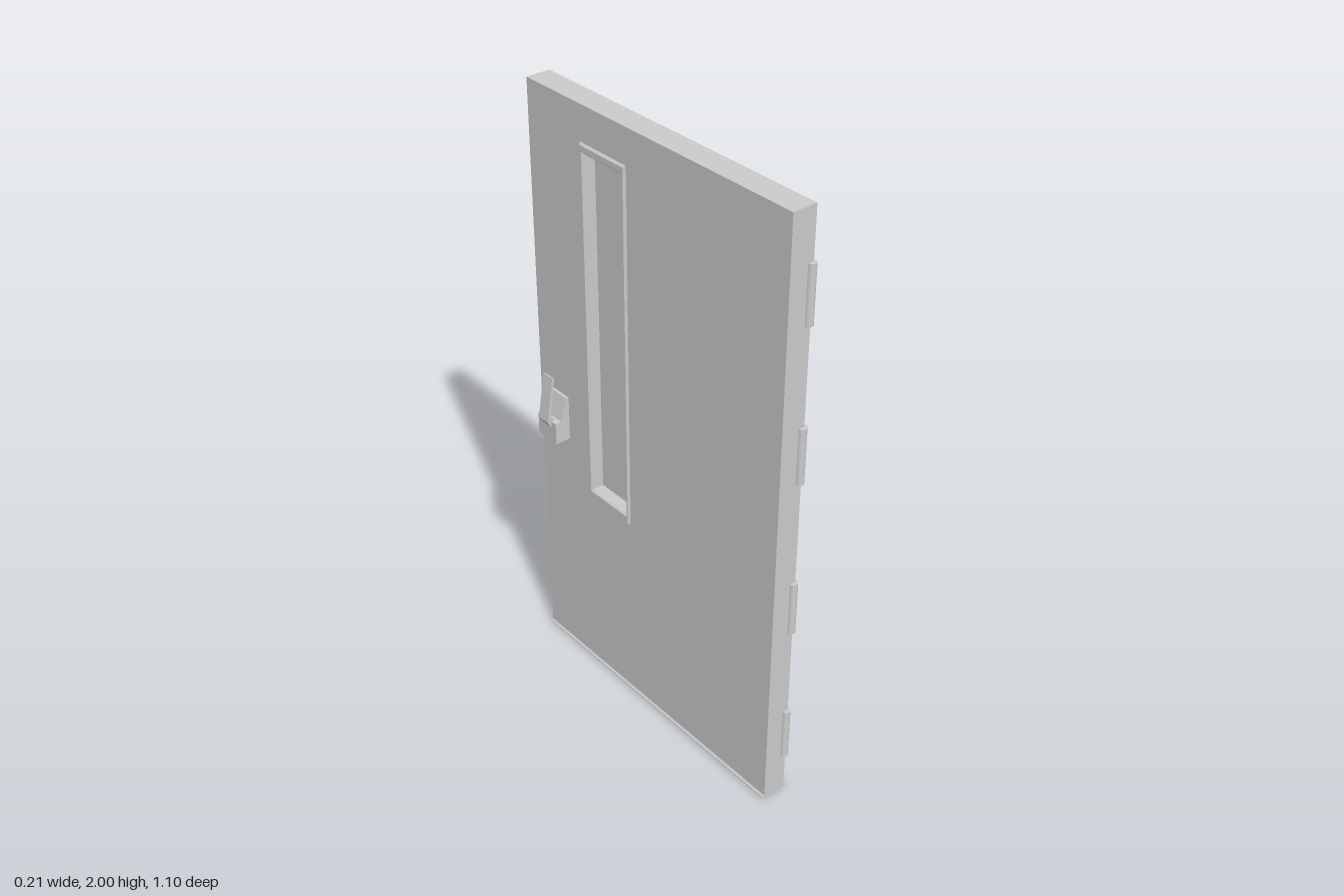
import * as THREE from 'three';

const CX = -0.003; // middle of the door thickness
const grey = new THREE.MeshStandardMaterial({ color: 0xcccccc, flatShading: true });
const smoothGrey = new THREE.MeshStandardMaterial({ color: 0xcccccc });

function mesh(name, geometry, material = grey) {
  const m = new THREE.Mesh(geometry, material);
  m.name = name;
  return m;
}

function polygon(points) {
  return new THREE.Shape(points.map(([x, y]) => new THREE.Vector2(x, y)));
}

// Rectangle in the door plane, s = -z
function rect(s0, s1, y0, y1) {
  return polygon([[s0, y0], [s1, y0], [s1, y1], [s0, y1]]);
}

// Upright panel with an opening, extruded through the door thickness
function panel(outer, opening, half, bevel = 0) {
  const shape = rect(...outer);
  shape.holes.push(rect(...opening));
  const depth = 2 * (half - bevel);
  const g = new THREE.ExtrudeGeometry(shape, {
    depth, bevelEnabled: bevel > 0, bevelThickness: bevel,
    bevelSize: bevel, bevelOffset: -bevel, bevelSegments: 1,
  });
  return g.translate(0, 0, -depth / 2).rotateY(Math.PI / 2);
}

// Profile in x and y, extruded along z
function bar(points, z0, z1) {
  return new THREE.ExtrudeGeometry(polygon(points), { depth: z1 - z0, bevelEnabled: false })
    .translate(0, 0, z0);
}

function createHandle(name) {
  const handle = new THREE.Group();
  handle.name = name;
  // Sloped block against the door
  handle.add(mesh('handleBase', bar([
    [0.035, 0.845], [0.093, 0.845], [0.093, 0.92], [0.073, 0.922], [0.05, 0.998], [0.035, 0.998],
  ], -0.045, 0.045)));
  // Thin lever leaning back towards the door
  handle.add(mesh('handleLever', bar([
    [0.08, 0.897], [0.093, 0.897], [0.107, 0.92], [0.083, 1.072], [0.076, 1.07], [0.093, 0.937], [0.08, 0.922],
  ], -0.023, 0.023)));
  handle.position.z = -0.452;
  return handle;
}

export function createModel() {
  const group = new THREE.Group();
  group.name = 'door';
  const body = new THREE.Group();
  body.name = 'doorBody';
  body.position.x = CX;
  group.add(body);

  // Door leaf with its window opening
  body.add(mesh('doorLeaf', panel([-0.535, 0.548, 0.004, 2], [0.113, 0.3, 0.688, 1.88], 0.04)));

  // Flared strip along the bottom edge
  body.add(mesh('bottomSweep', bar([
    [-0.046, 0], [0.046, 0], [0.046, 0.003], [0.04, 0.009], [-0.04, 0.009], [-0.046, 0.003],
  ], -0.548, 0.535)));

  // Bevelled window frame and pane
  body.add(mesh('windowFrame', panel([0.107, 0.307, 0.679, 1.888], [0.124, 0.289, 0.713, 1.858], 0.047, 0.006)));
  const pane = mesh('windowPane', new THREE.BoxGeometry(0.008, 1.16, 0.18));
  pane.position.set(0, 1.2855, -0.2065);
  body.add(pane);

  // Handles on both faces
  const left = createHandle('leftHandle');
  const right = createHandle('rightHandle');
  right.rotation.y = Math.PI;
  body.add(left, right);

  // Hinge barrels on the front edge
  [0.232, 0.725, 1.255, 1.75].forEach((y, i) => {
    const hinge = mesh(`hinge${i + 1}`, new THREE.CylinderGeometry(0.0145, 0.0145, 0.182, 12), smoothGrey);
    hinge.position.set(0.031, y, 0.5335);
    group.add(hinge);
  });

  return group;
}
